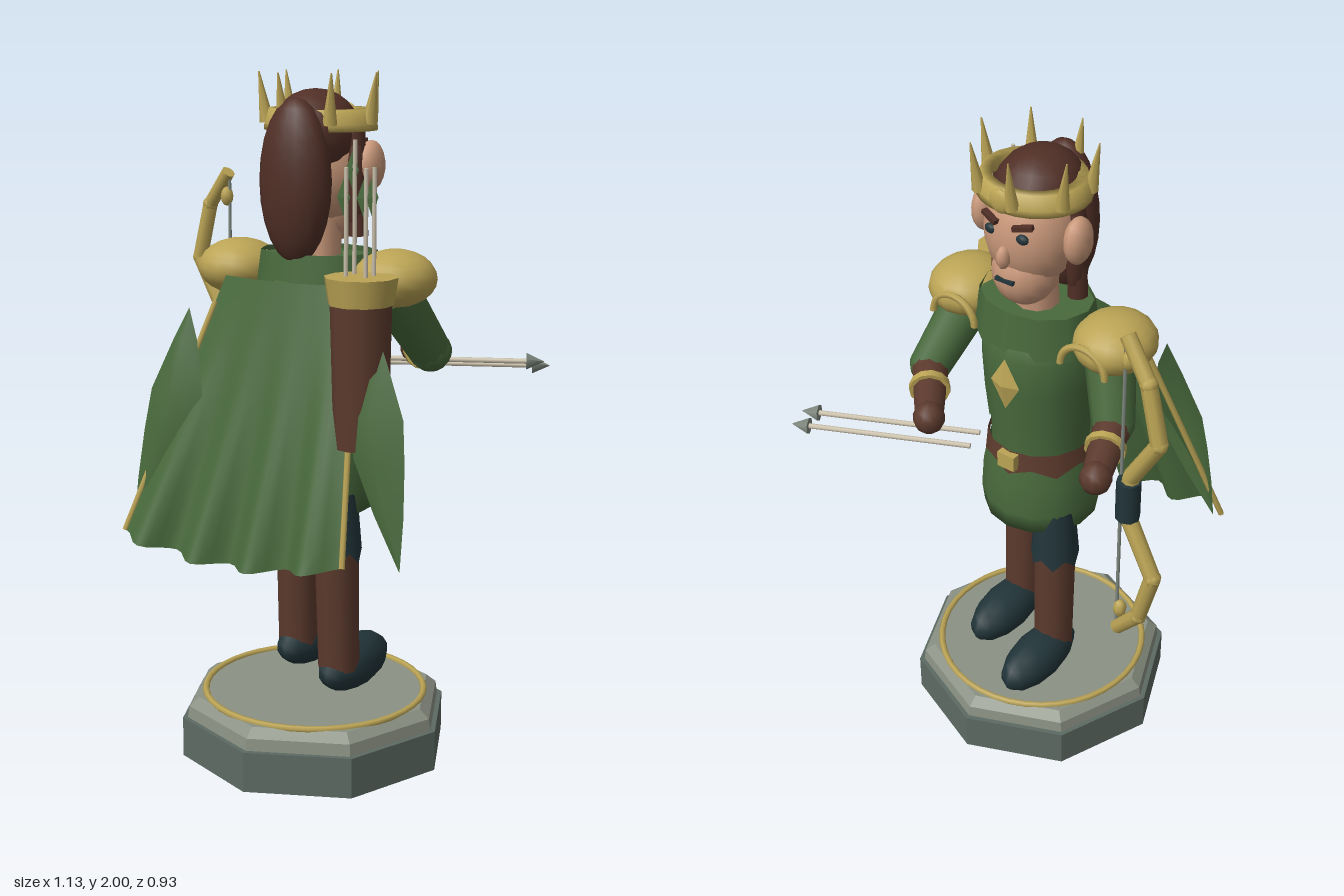
import * as THREE from 'three';

const mat = (name, color, double) => {
  const m = new THREE.MeshStandardMaterial({ color });
  m.name = name;
  if (double) m.side = THREE.DoubleSide;
  return m;
};
const V = (x, y, z) => new THREE.Vector3(x, y, z);

export function createModel() {
  const gold = mat('gold', 0xbba455, true), green = mat('green cloth', 0x48693c, true);
  const leather = mat('leather', 0x5c3a2d, true), hair = mat('hair brown', 0x502f26);
  const teal = mat('dark teal', 0x22353a, true), skin = mat('skin', 0xc9987a);
  const stone = mat('stone', 0x5d6b63), paleStone = mat('pale stone', 0x8b9184);
  const wood = mat('pale wood', 0xcdc3ae), steel = mat('steel', 0x7f887f);

  const root = new THREE.Group();
  root.name = 'archerFigure';
  const figure = new THREE.Group();
  figure.name = 'archer';
  figure.position.x = 0.05;
  root.add(figure);

  const add = (name, geo, material, x = 0, y = 0, z = 0, parent = figure) => {
    const m = new THREE.Mesh(geo, material);
    m.name = name;
    m.position.set(x, y, z);
    parent.add(m);
    return m;
  };
  const ball = (name, material, x, y, z, rx, ry, rz, parent = figure, seg = 16) => {
    const m = add(name, new THREE.SphereGeometry(1, seg, Math.ceil(seg * 0.7)), material, x, y, z, parent);
    m.scale.set(rx, ry, rz);
    return m;
  };
  // tapered rod from point a to point b
  const rod = (name, material, a, b, ra, rb = ra, parent = figure, seg = 10) => {
    const d = b.clone().sub(a);
    const m = add(name, new THREE.CylinderGeometry(rb, ra, d.length(), seg), material, 0, 0, 0, parent);
    m.position.copy(a).add(b).multiplyScalar(0.5);
    m.quaternion.setFromUnitVectors(V(0, 1, 0), d.normalize());
    return m;
  };
  // open band whose lower edge is cut into points
  const zigzag = (rTop, rBottom, h, n, depth) => {
    const g = new THREE.CylinderGeometry(rTop, rBottom, h, n * 2, 1, true), p = g.attributes.position;
    for (let i = 0; i < p.count; i++)
      if (p.getY(i) < 0 && (i % (n * 2 + 1)) % 2) p.setY(i, p.getY(i) - depth);
    return g;
  };

  // octagonal plinth
  const base = new THREE.Group();
  base.name = 'plinth';
  base.position.set(0.05, 0, 0.057);
  root.add(base);
  const oct = (a, b, h) => new THREE.CylinderGeometry(a, b, h, 8).toNonIndexed();
  const flat = g => { g.computeVertexNormals(); return g; };
  add('plinthFoot', flat(oct(0.405, 0.405, 0.12)), stone, 0, 0.06, 0, base);
  add('plinthStep', flat(oct(0.385, 0.39, 0.035)), paleStone, 0, 0.1375, 0, base);
  add('plinthTop', flat(oct(0.355, 0.385, 0.025)), paleStone, 0, 0.1675, 0, base);
  add('plinthRing', new THREE.TorusGeometry(0.328, 0.01, 6, 40), gold, 0, 0.181, 0, base).rotation.x = Math.PI / 2;

  // legs and boots, the -x leg stepping forward
  for (const [x, z, bootZ] of [[-0.105, -0.025, -0.105], [0.11, 0.105, 0.015]]) {
    rod('leg', leather, V(x, 0.28, z), V(x * 0.97, 0.68, z + 0.012), 0.062, 0.066);
    add('legging', zigzag(0.06, 0.074, 0.17, 6, 0.035), teal, x * 0.97, 0.735, z + 0.012);
    ball('boot', teal, x, 0.27, bootZ, 0.076, 0.078, 0.168, figure, 12);
  }

  // tunic
  const skirt = new THREE.LatheGeometry([[0.0, 0.76], [0.175, 0.76], [0.182, 0.82], [0.175, 0.92], [0.155, 1.02]]
    .map(([r, y]) => new THREE.Vector2(r, y)), 14);
  add('skirt', skirt, green, 0, 0, 0.057);
  const chest = new THREE.LatheGeometry([[0.148, 1.0], [0.15, 1.1], [0.165, 1.25], [0.17, 1.36], [0.14, 1.43], [0.0, 1.46]]
    .map(([r, y]) => new THREE.Vector2(r, y)), 16);
  add('torso', chest, green, 0, 0, 0.055);
  add('belt', zigzag(0.16, 0.168, 0.05, 7, 0.03), leather, 0, 1.012, 0.057);
  add('buckle', new THREE.BoxGeometry(0.06, 0.05, 0.025), gold, 0, 1.008, -0.11);
  const gem = add('chestDiamond', new THREE.OctahedronGeometry(1), gold, 0, 1.285, -0.118);
  gem.scale.set(0.05, 0.085, 0.018);
  add('collar', new THREE.CylinderGeometry(0.175, 0.193, 0.13, 12, 1, true), green, 0.01, 1.44, 0.05).scale.z = 0.8;
  add('collarTop', new THREE.CylinderGeometry(0.174, 0.174, 0.01, 12), green, 0.01, 1.485, 0.05).scale.z = 0.8;

  // pauldrons with front trim
  for (const s of [-1, 1]) {
    ball('pauldron', gold, s * 0.255, 1.44, 0.055, 0.118, 0.082, 0.128);
    add('pauldronTrim', new THREE.TorusGeometry(0.075, 0.011, 6, 14, Math.PI), gold, s * 0.225, 1.39, -0.062);
  }

  // arms: shoulder, elbow, hand
  const arms = [
    [V(-0.24, 1.4, 0.05), V(-0.305, 1.22, -0.02), V(-0.375, 1.18, -0.205)],
    [V(0.25, 1.4, 0.05), V(0.298, 1.215, -0.09), V(0.162, 1.185, -0.265)]];
  for (const [s, e, h] of arms) {
    rod('sleeve', green, s, e, 0.075, 0.062);
    ball('elbow', green, e.x, e.y, e.z, 0.062, 0.06, 0.062, figure, 12);
    rod('gauntlet', leather, e, h, 0.056, 0.042);
    const at = t => e.clone().lerp(h, t);
    rod('gauntletBand', gold, at(0.4), at(0.5), 0.06, 0.06, figure, 12);
    ball('hand', leather, h.x, h.y, h.z, 0.047, 0.05, 0.047, figure, 10);
  }

  // head
  rod('neck', skin, V(0, 1.44, 0.04), V(0, 1.6, 0.03), 0.065);
  ball('head', skin, 0, 1.735, 0.015, 0.135, 0.165, 0.13, figure, 20);
  ball('jaw', skin, 0, 1.62, -0.015, 0.095, 0.105, 0.098);
  ball('nose', skin, 0, 1.7, -0.115, 0.02, 0.035, 0.025, figure, 8);
  add('mouth', new THREE.BoxGeometry(0.06, 0.01, 0.012), teal, 0, 1.625, -0.112);
  for (const s of [-1, 1]) {
    ball('ear', skin, s * 0.155, 1.745, 0.012, 0.036, 0.07, 0.052, figure, 12);
    ball('eye', teal, s * 0.052, 1.765, -0.1, 0.02, 0.015, 0.012, figure, 10);
    const brow = add('brow', new THREE.BoxGeometry(0.058, 0.013, 0.018), hair, s * 0.054, 1.8, -0.1);
    brow.rotation.set(0, s * -0.3, s * 0.2);
    ball('sideLock', hair, s * 0.13, 1.69, 0.045, 0.03, 0.145, 0.042, figure, 12);
    rod('sideLockEnd', hair, V(s * 0.132, 1.55, 0.045), V(s * 0.125, 1.85, 0.045), 0.03, 0.025);
  }
  ball('hairCap', hair, 0, 1.83, 0.055, 0.128, 0.125, 0.14);
  ball('backHair', hair, 0, 1.705, 0.165, 0.108, 0.23, 0.075);

  // crown
  const crown = new THREE.Group();
  crown.name = 'crown';
  crown.position.set(0, 0, 0.025);
  figure.add(crown);
  const band = new THREE.LatheGeometry([[0.14, 1.845], [0.165, 1.84], [0.163, 1.86], [0.15, 1.9], [0.12, 1.9], [0.14, 1.845]]
    .map(([r, y]) => new THREE.Vector2(r, y)), 24);
  add('crownBand', band, gold, 0, 0, 0, crown).scale.z = 0.9;
  for (let i = 0; i < 7; i++) {
    const a = -0.245 + i * Math.PI * 2 / 7, sx = Math.sin(a), cz = Math.cos(a);
    rod('crownSpike', gold, V(sx * 0.155, 1.86, cz * 0.145), V(sx * 0.178, 2, cz * 0.165), 0.021, 0.002, crown, 6);
  }
  ball('crownJewel', gold, 0, 1.875, -0.15, 0.035, 0.035, 0.014, crown, 12);

  // cape: widening sheet with four folds at the hem
  const cape = new THREE.PlaneGeometry(1, 1, 32, 14), cp = cape.attributes.position;
  const capePoint = (u, v) => V(
    THREE.MathUtils.lerp(-0.17 - 0.23 * v, 0.255 + 0.07 * v, u),
    THREE.MathUtils.lerp(1.43, 0.69 - 0.045 * Math.sin(Math.PI * u), v),
    0.185 + 0.2 * v + 0.035 * Math.sin(Math.PI * u) * (1 - v) + 0.037 * v * v * (1 - Math.cos(u * 8 * Math.PI)) * 0.9);
  for (let i = 0; i < cp.count; i++) {
    const q = capePoint(cp.getX(i) + 0.5, 0.5 - cp.getY(i));
    cp.setXYZ(i, q.x, q.y, q.z);
  }
  cape.computeVertexNormals();
  add('cape', cape, green, 0, 0, 0, root);
  for (const u of [0, 1])
    rod('capeTrim', gold, capePoint(u, 0.1), capePoint(u, 1), 0.009, 0.009, root, 6);

  // leaf-shaped cape flaps, folded along the middle
  const leaf = [[1.34, 0.3, 0.3], [1.25, 0.265, 0.345], [1.1, 0.235, 0.41], [0.98, 0.27, 0.425], [0.84, 0.345, 0.435], [0.7, 0.435, 0.437]];
  for (const s of [-1, 1]) {
    const g = new THREE.PlaneGeometry(1, 1, 2, leaf.length - 1), p = g.attributes.position;
    leaf.forEach(([y, a, b], r) => {
      for (let c = 0; c < 3; c++)
        p.setXYZ(r * 3 + c, s * (a + (b - a) * c / 2), y, 0.255 + (1.34 - y) * 0.16 + (c === 1 ? (b - a) * 0.22 : 0));
    });
    g.computeVertexNormals();
    add('capeFlap', g, green);
  }

  // quiver with four arrows
  rod('quiver', leather, V(0.305, 1.0, 0.245), V(0.305, 1.42, 0.25), 0.075, 0.085, root, 12);
  rod('quiverRim', gold, V(0.305, 1.395, 0.25), V(0.305, 1.47, 0.25), 0.09, 0.102, root, 10);
  for (const [x, z, top] of [[0.265, 0.215, 1.83], [0.325, 0.215, 1.76], [0.265, 0.262, 1.76], [0.325, 0.262, 1.76]]) {
    rod('quiverArrow', wood, V(x, 1.3, z), V(x, top, z), 0.006, 0.006, root, 6);
    const f = add('fletching', new THREE.OctahedronGeometry(1), green, x - 0.008, top - 0.08, z, root);
    f.scale.set(0.02, 0.05, 0.004);
  }

  // arrows held in the hand
  for (const [y, z] of [[1.15, -0.2], [1.13, -0.245]]) {
    const a = V(0.08, y, z), b = V(0.515, y - 0.002, z - 0.198), c = V(0.562, y - 0.002, z - 0.219);
    rod('heldArrow', wood, a, b, 0.008, 0.008, root, 8);
    rod('arrowHead', steel, b, c, 0.026, 0.001, root, 6);
  }

  // bow
  const half = [[0.075, -0.45, -0.222], [0.21, -0.542, -0.235], [0.4, -0.495, -0.228], [0.46, -0.47, -0.215], [0.505, -0.412, -0.205]];
  for (const s of [-1, 1]) {
    const pts = [[0, -0.445, -0.222], half[0], [0.23, -0.54, -0.235], half[2], half[4]].map(([y, x, z]) => V(x, 1.178 + s * y, z));
    for (let i = 0; i < pts.length - 1; i++) {
      rod('bowLimb', gold, pts[i], pts[i + 1], 0.026 - i * 0.001, 0.025 - i * 0.001, root, 8);
      ball('bowJoint', gold, pts[i].x, pts[i].y, pts[i].z, 0.025, 0.025, 0.025, root, 8);
    }
    ball('bowNock', gold, -0.418, 1.178 + s * 0.43, -0.205, 0.02, 0.03, 0.02, root, 8);
  }
  add('bowGrip', new THREE.CylinderGeometry(0.035, 0.035, 0.125, 8), teal, -0.445, 1.178, -0.225, root);
  rod('bowString', steel, V(-0.408, 0.68, -0.205), V(-0.408, 1.675, -0.205), 0.005, 0.005, root, 6);

  return root;
}
